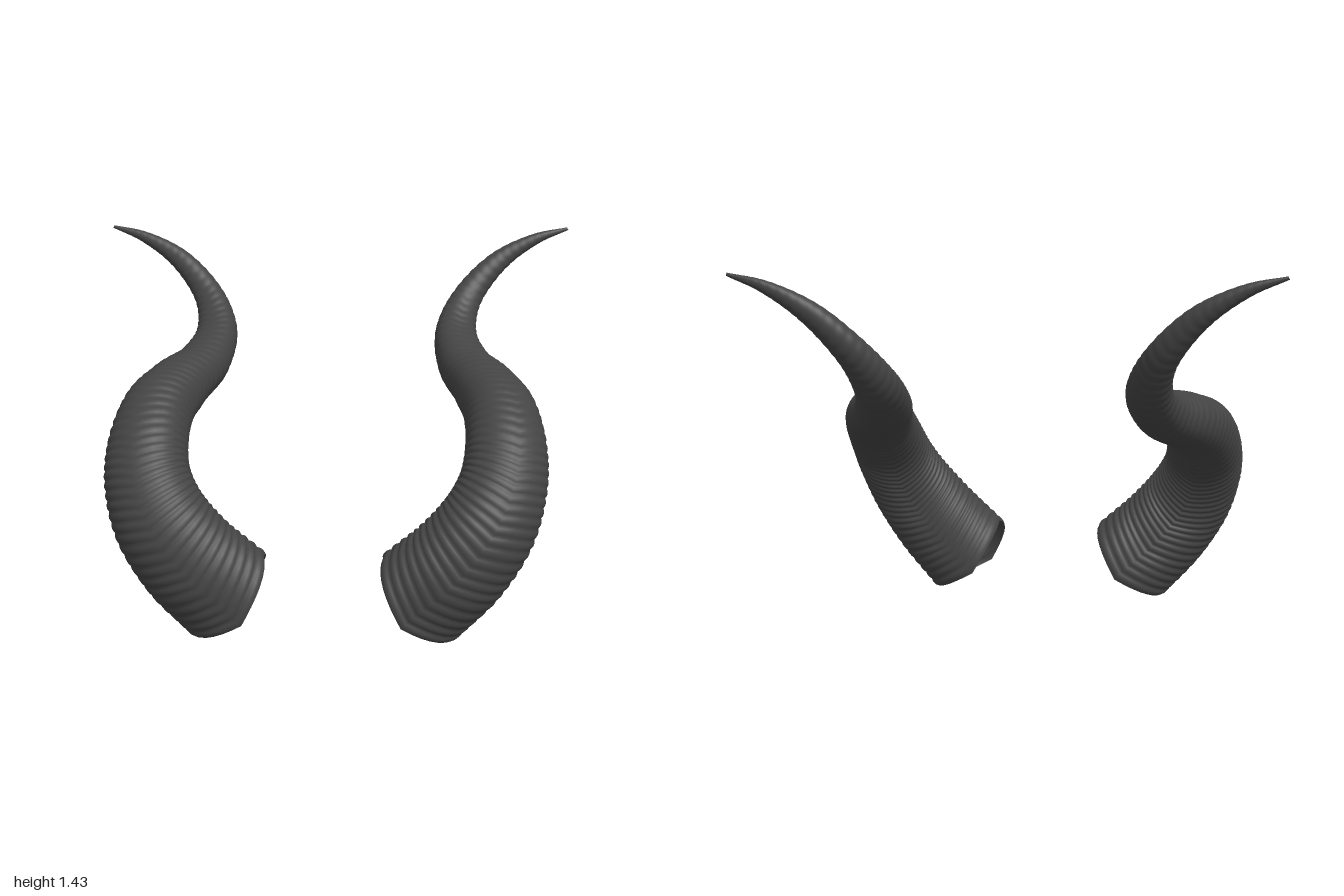
import * as THREE from 'three';

// Centre line of the left horn, from base to tip
const PATH = [
  [0.37, 0.155, 0.49], [0.51, 0.295, 0.505], [0.615, 0.44, 0.485], [0.67, 0.57, 0.42],
  [0.685, 0.68, 0.32], [0.67, 0.785, 0.15], [0.62, 0.845, -0.03], [0.545, 0.905, -0.235],
  [0.515, 1.01, -0.43], [0.565, 1.14, -0.555], [0.70, 1.29, -0.63], [0.86, 1.385, -0.656],
  [1.0, 1.43, -0.665],
];
// Half width (sideways) and half depth (front to back) at each path point
const RADII = [
  [0.21, 0.175], [0.2, 0.165], [0.185, 0.155], [0.167, 0.145], [0.156, 0.138], [0.143, 0.133],
  [0.132, 0.119], [0.112, 0.1], [0.088, 0.076], [0.064, 0.056], [0.045, 0.04], [0.024, 0.022],
  [0.006, 0.005],
];
const RINGS = 60, STEPS = 5, SIDES = 32;

function hornGeometry(side) {
  const path = new THREE.CatmullRomCurve3(PATH.map((p) => new THREE.Vector3(...p)));
  const size = new THREE.CatmullRomCurve3(RADII.map(([a, b]) => new THREE.Vector3(a, b, 0)));
  const rows = RINGS * STEPS;
  const positions = [], index = [];
  const across = new THREE.Vector3(0.7, -0.7, 0);
  const up = new THREE.Vector3();
  const v = new THREE.Vector3();

  for (let i = 0; i <= rows; i++) {
    const t = i / rows;
    const centre = path.getPoint(t), tangent = path.getTangent(t), r = size.getPoint(t);
    // Carry the frame along the curve without twisting
    across.addScaledVector(tangent, -across.dot(tangent)).normalize();
    up.crossVectors(across, tangent).normalize();
    if (i === 0 && up.z < 0) throw new Error('frame is reversed');
    // Scalloped growth rings
    const bulge = 0.975 + 0.035 * Math.sin(Math.PI * ((i % STEPS) / STEPS));
    for (let j = 0; j < SIDES; j++) {
      const a = (j / SIDES) * Math.PI * 2;
      // Rings sweep back toward the base on the front and rear faces, as chevrons
      const chevron = Math.asin(Math.min(1, Math.abs(Math.sin(a)))) / (Math.PI / 2);
      const c = Math.cos(a), s = Math.sin(a);
      v.copy(centre)
        .addScaledVector(across, r.x * bulge * c)
        .addScaledVector(up, r.y * bulge * Math.sign(s) * Math.abs(s) ** 0.9)
        .addScaledVector(tangent, -0.45 * r.x * chevron);
      positions.push(v.x * side, v.y, v.z);
    }
  }
  for (let i = 0; i < rows; i++) {
    for (let j = 0; j < SIDES; j++) {
      const k = (j + 1) % SIDES;
      const a = i * SIDES + j, b = i * SIDES + k, c = a + SIDES, d = b + SIDES;
      // across x up points toward the base, so the outward order is reversed
      if (side > 0) index.push(a, c, b, b, c, d);
      else index.push(a, b, c, b, d, c);
    }
  }
  const g = new THREE.BufferGeometry();
  g.setAttribute('position', new THREE.Float32BufferAttribute(positions, 3));
  g.setIndex(index);
  g.computeVertexNormals();
  return g;
}

export function createModel() {
  const group = new THREE.Group();
  group.name = 'hornPair';
  // Open at the base, so both faces show
  const material = new THREE.MeshStandardMaterial({ color: 0x444444, side: THREE.DoubleSide });
  for (const [name, side] of [['leftHorn', 1], ['rightHorn', -1]]) {
    const horn = new THREE.Mesh(hornGeometry(side), material);
    horn.name = name;
    group.add(horn);
  }
  return group;
}
